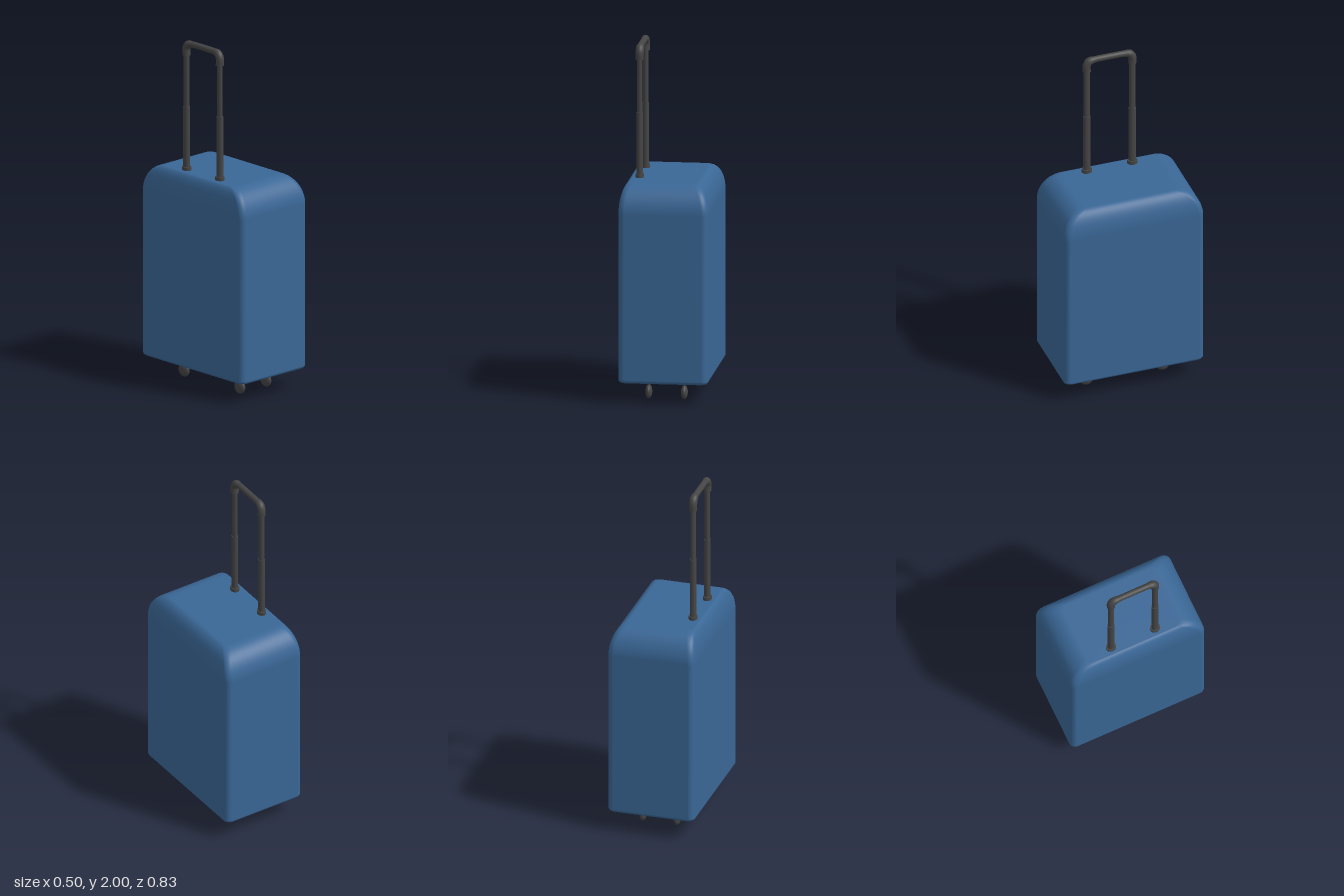
import * as THREE from 'three';

const blue = new THREE.MeshStandardMaterial({ color: 0x3a6796 });
blue.name = 'shellBlue';
const grey = new THREE.MeshStandardMaterial({ color: 0x454545 });
grey.name = 'darkGrey';

// Skin a list of closed rings (arrays of Vector3), closing both ends with a fan
function loft(rings) {
  const n = rings[0].length, pos = [], idx = [];
  rings.forEach(r => r.forEach(p => pos.push(p.x, p.y, p.z)));
  for (let i = 0; i < rings.length - 1; i++) {
    for (let j = 0; j < n; j++) {
      const a = i * n + j, b = i * n + (j + 1) % n;
      idx.push(a, a + n, b, b, a + n, b + n);
    }
  }
  [0, rings.length - 1].forEach((row, end) => {
    const c = new THREE.Vector3();
    rings[row].forEach(p => c.addScaledVector(p, 1 / n));
    const ci = pos.length / 3;
    pos.push(c.x, c.y, c.z);
    for (let j = 0; j < n; j++) {
      const a = row * n + j, b = row * n + (j + 1) % n;
      if (end) idx.push(ci, b, a); else idx.push(ci, a, b);
    }
  });
  const g = new THREE.BufferGeometry();
  g.setAttribute('position', new THREE.Float32BufferAttribute(pos, 3));
  g.setIndex(idx);
  g.computeVertexNormals();
  return g;
}

function add(parent, name, geometry, material, x = 0, y = 0, z = 0) {
  const m = new THREE.Mesh(geometry, material);
  m.name = name;
  m.position.set(x, y, z);
  parent.add(m);
  return m;
}

// Horizontal rounded rectangle
function roundedRing(y, x0, x1, hz, r) {
  const ring = [], seg = 6;
  for (let k = 0; k < 4; k++) {
    const cx = k === 0 || k === 3 ? x1 - r : x0 + r;
    const cz = k < 2 ? hz - r : r - hz;
    for (let i = 0; i <= seg; i++) {
      const a = (k + i / seg) * Math.PI / 2;
      ring.push(new THREE.Vector3(cx + r * Math.cos(a), y, cz + r * Math.sin(a)));
    }
  }
  return ring;
}

// Shell: tight bottom edge, wide elliptical top shoulders
function shellGeometry() {
  const rings = [], bottom = 0.115, top = 1.24, r = 0.02, rise = 0.16;
  for (let i = 0; i <= 5; i++) {
    const a = i / 5 * Math.PI / 2, d = r * (1 - Math.sin(a));
    rings.push(roundedRing(bottom + r * (1 - Math.cos(a)), -0.252 + d, 0.252 - d, 0.413 - d, 0.035));
  }
  for (let i = 0; i <= 12; i++) {
    const a = i / 12 * Math.PI / 2, k = 1 - Math.cos(a);
    rings.push(roundedRing(top - rise + rise * Math.sin(a),
      -0.252 + 0.05 * k, 0.252 - 0.08 * k, 0.413 - 0.135 * k, 0.035));
  }
  return loft(rings);
}

// Grip: swept ellipse that is thicker at the corners
function gripGeometry() {
  const half = [[1.91, 0.135], [1.95, 0.135], [1.974, 0.121], [1.981, 0.085], [1.982, 0.04]];
  const pts = half.map(([y, z]) => new THREE.Vector3(0, y, z));
  pts.push(...half.map(([y, z]) => new THREE.Vector3(0, y, -z)).reverse());
  const curve = new THREE.CatmullRomCurve3(pts);
  const xAxis = new THREE.Vector3(1, 0, 0), rings = [], steps = 48;
  for (let i = 0; i <= steps; i++) {
    const p = curve.getPointAt(i / steps);
    const v = xAxis.clone().cross(curve.getTangentAt(i / steps));
    const s = THREE.MathUtils.smoothstep(Math.abs(p.z), 0.08, 0.125);
    const w = 0.0175 + 0.0055 * s, h = 0.018 + 0.005 * s;
    const ring = [];
    for (let j = 0; j < 20; j++) {
      const a = j / 20 * Math.PI * 2;
      ring.push(p.clone().addScaledVector(xAxis, w * Math.cos(a)).addScaledVector(v, h * Math.sin(a)));
    }
    rings.push(ring);
  }
  // doubled end rings keep the end edges crisp
  return loft([rings[0], ...rings, rings[steps]]);
}

// Upright elliptical tube between two heights
function tube(y0, y1, rx, rz) {
  return new THREE.CylinderGeometry(1, 1, 1, 20).scale(rx, y1 - y0, rz).translate(0, (y0 + y1) / 2, 0);
}

export function createModel() {
  const model = new THREE.Group();
  model.name = 'suitcase';
  add(model, 'shell', shellGeometry(), blue);

  // Telescopic handle near one long side
  const handle = new THREE.Group();
  handle.name = 'handle';
  handle.position.set(-0.164, 0, 0.004);
  model.add(handle);
  for (const z of [0.135, -0.135]) {
    add(handle, 'collar', tube(1.23, 1.26, 0.024, 0.029), grey, 0, 0, z);
    add(handle, 'lowerTube', tube(1.23, 1.61, 0.018, 0.021), grey, 0, 0, z);
    add(handle, 'upperTube', tube(1.6, 1.94, 0.015, 0.0175), grey, 0, 0, z);
  }
  add(handle, 'grip', gripGeometry(), grey);

  // Four lens-shaped wheels on short stems
  const profile = [];
  for (let i = 0; i <= 14; i++) {
    const a = (i / 14 - 0.5) * Math.PI;
    profile.push(new THREE.Vector2(0.04 * Math.cos(a), 0.019 * Math.sin(a)));
  }
  const wheel = new THREE.LatheGeometry(profile, 28).rotateZ(Math.PI / 2);
  const stem = tube(0.06, 0.12, 0.007, 0.013);
  for (const x of [-0.1, 0.1]) {
    for (const z of [0.234, -0.218]) {
      add(model, 'wheel', wheel, grey, x, 0.04, z);
      add(model, 'wheelStem', stem, grey, x, 0, z);
    }
  }
  return model;
}
